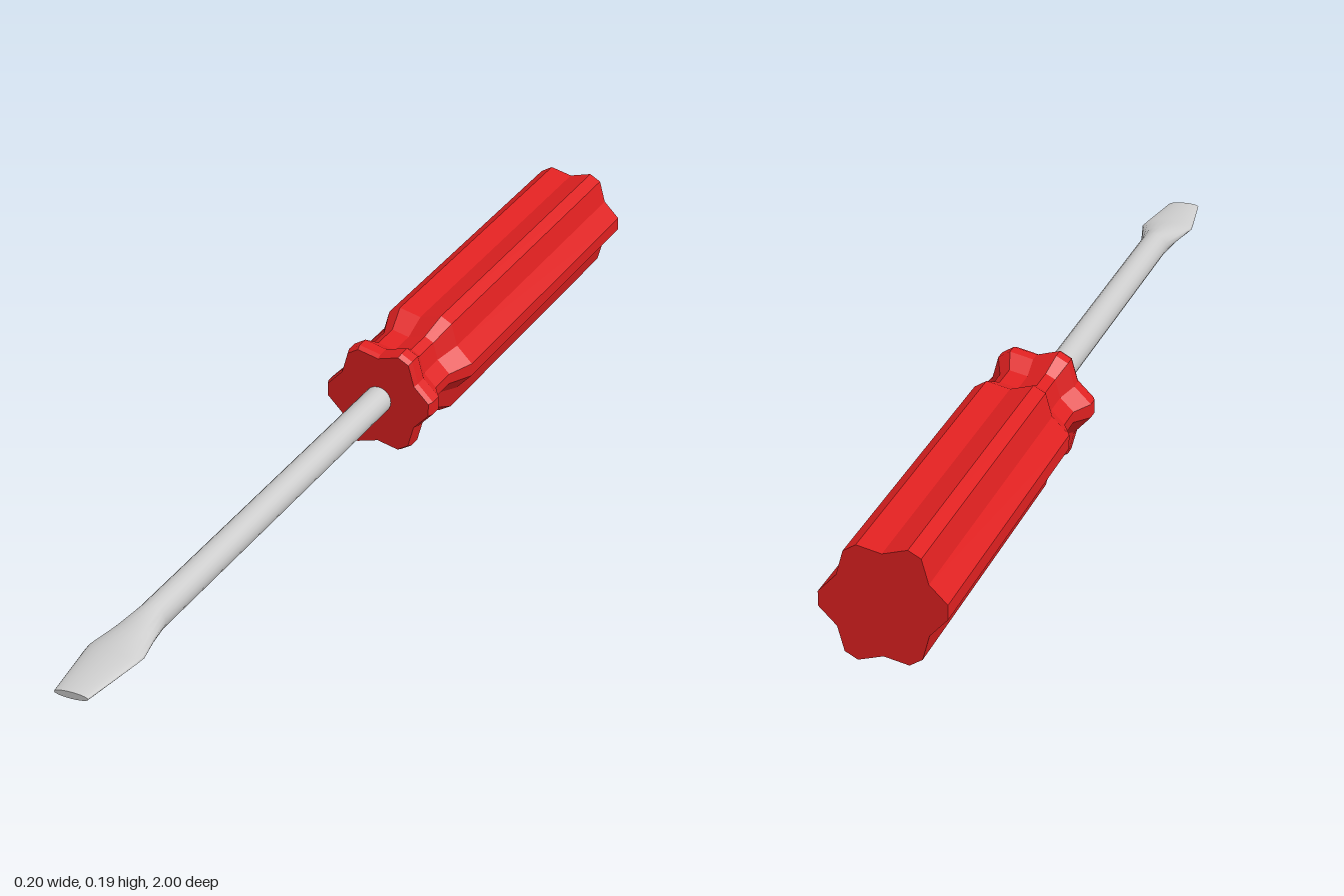
import * as THREE from 'three';

const AXIS_Y = 0.0945;

// Skins a list of rings (ordered back to front, counterclockwise seen from +z) and closes both ends.
function loft(rings, flat) {
  const n = rings[0].length;
  const pos = [], index = [];
  rings.forEach(ring => ring.forEach(p => pos.push(...p)));
  for (let r = 0; r < rings.length - 1; r++) {
    for (let i = 0; i < n; i++) {
      const a = r * n + i, b = r * n + (i + 1) % n;
      index.push(a, b, b + n, a, b + n, a + n);
    }
  }
  // End caps use their own vertices so the rim stays sharp
  [[rings[0], false], [rings[rings.length - 1], true]].forEach(([ring, front]) => {
    const c = pos.length / 3;
    pos.push(0, 0, ring[0][2]);
    ring.forEach(p => pos.push(...p));
    for (let i = 0; i < n; i++) {
      const a = c + 1 + i, b = c + 1 + (i + 1) % n;
      if (front) index.push(c, a, b);
      else index.push(c, b, a);
    }
  });
  let geo = new THREE.BufferGeometry();
  geo.setAttribute('position', new THREE.Float32BufferAttribute(pos, 3));
  geo.setIndex(index);
  if (flat) geo = geo.toNonIndexed();
  geo.computeVertexNormals();
  return geo;
}

// Six-lobed star: each lobe has two outer corners, with a notch between lobes
function starRing(z, scale) {
  const ring = [];
  for (let k = 0; k < 6; k++) {
    for (const [deg, radius] of [[-6.7, 0.1028], [6.7, 0.1028], [30, 0.084]]) {
      const a = THREE.MathUtils.degToRad(k * 60 + deg);
      ring.push([Math.cos(a) * radius * scale, Math.sin(a) * radius * scale, z]);
    }
  }
  return ring;
}

// Oval section; a power above 1 pinches the sides into a blade edge
function ovalRing(z, halfWidth, halfHeight, power) {
  const n = 20;
  return Array.from({ length: n }, (_, i) => {
    const a = (i / n) * Math.PI * 2, s = Math.sin(a);
    return [Math.cos(a) * halfWidth, Math.sign(s) * Math.abs(s) ** power * halfHeight, z];
  });
}

export function createModel() {
  const group = new THREE.Group();
  group.name = 'screwdriver';
  const add = (name, geo, material) => {
    const mesh = new THREE.Mesh(geo, material);
    mesh.name = name;
    mesh.position.y = AXIS_Y;
    group.add(mesh);
  };

  // Fluted handle with a narrow neck and flared collar: [z, scale]
  const handle = [[-1, 1], [-0.288, 1], [-0.237, 0.79], [-0.178, 0.79], [-0.142, 1], [-0.118, 1], [-0.107, 0.96]];
  add('handle', loft(handle.map(([z, s]) => starRing(z, s)), true),
    new THREE.MeshStandardMaterial({ color: 0xdd2020, flatShading: true }));

  // Round shaft drawn out into a flat blade: [z, half width, half height, pinch]
  const shaft = [
    [-0.13, 0.0255, 0.0255, 1], [0.74, 0.0255, 0.0255, 1], [0.8, 0.037, 0.019, 1.2],
    [0.855, 0.049, 0.013, 1.4], [0.875, 0.047, 0.012, 1.4], [1, 0.03, 0.006, 1],
  ];
  add('shaftAndBlade', loft(shaft.map(s => ovalRing(...s)), false),
    new THREE.MeshStandardMaterial({ color: 0xcccccc }));

  return group;
}
